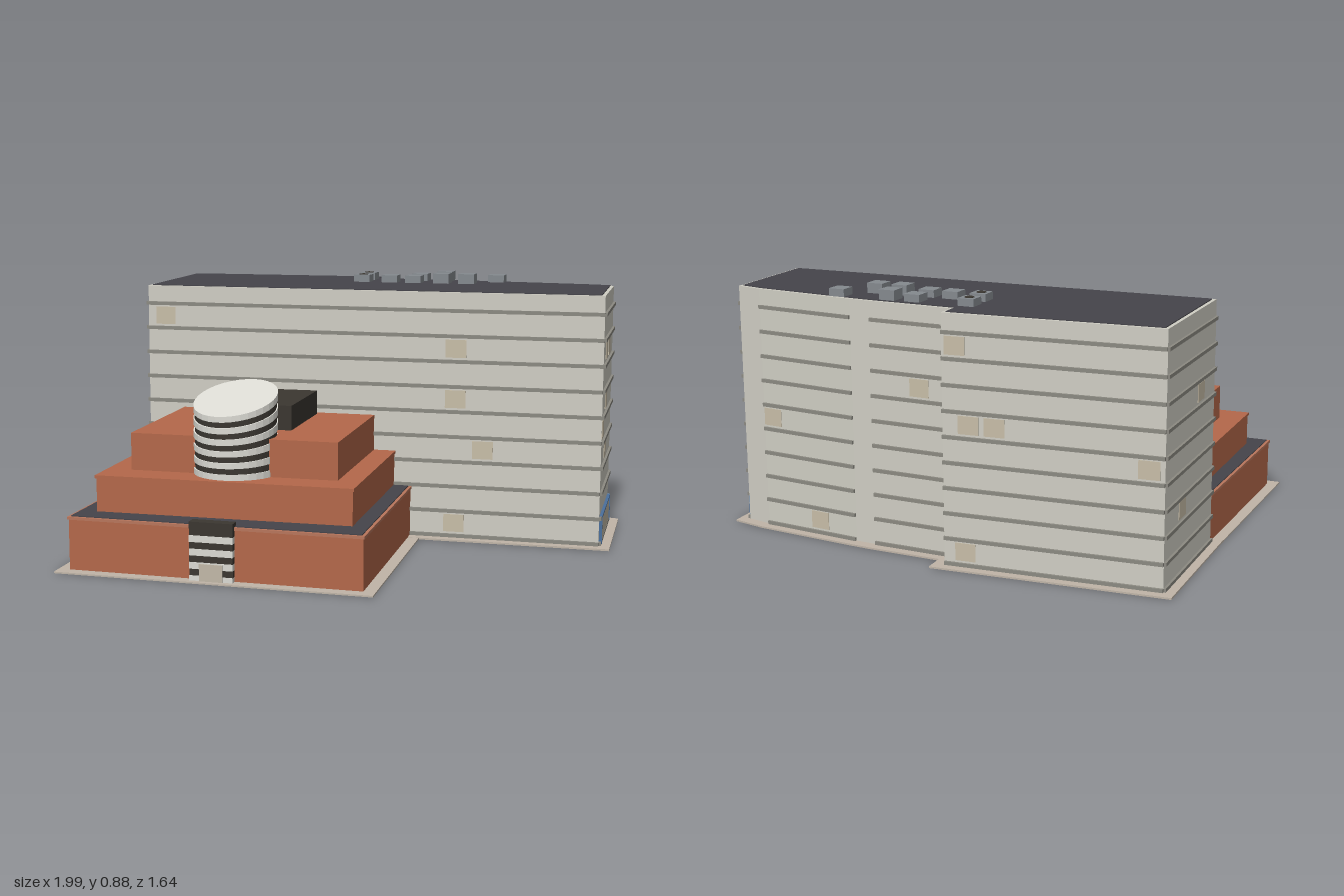
import * as THREE from 'three';

const mat = (color, side = THREE.FrontSide) => new THREE.MeshStandardMaterial({ color, side, flatShading: true });
const M = {
  wall: mat(0xd0cec4), ledge: mat(0x8c8a82), roof: mat(0x45444a), pad: mat(0xc0b5a8),
  brick: mat(0xb4684a), cap: mat(0xb9765c), dark: mat(0x3b3731), white: mat(0xdcdbd4),
  window: mat(0xc8bea8), blue: mat(0x4a6f9c), unit: mat(0x858a8f), lobby: mat(0xc2b9a8),
};

// Plan outlines as [x, z], all wound the same way
const TOWER = [[-0.07, -0.77], [0.47, -0.27], [0.42, -0.22], [0.62, 0], [0.67, 0.06], [0.9, 0.35], [0.95, 0.43], [0.68, 0.7], [-0.43, -0.41]];
const BASE = [[-0.43, -0.41], [0.23, 0.25], [-0.28, 0.76], [-0.94, 0.08]];
const MIDDLE = [[-0.39, -0.38], [0.19, 0.21], [-0.25, 0.65], [-0.84, 0.07]];
const UPPER = [[-0.34, -0.32], [0.14, 0.16], [-0.23, 0.53], [-0.71, 0.05]];
const PLANT = [[-0.22, -0.16], [-0.015, 0.04], [-0.25, 0.275], [-0.46, 0.07]];

// Moves every side of an outline outward by d (inward if negative)
function offset(points, d) {
  const n = points.length;
  const normal = (a, b) => {
    const dx = b[0] - a[0], dz = b[1] - a[1], l = Math.hypot(dx, dz);
    return [dz / l, -dx / l];
  };
  return points.map((p, i) => {
    const u = normal(points[(i + n - 1) % n], p), v = normal(p, points[(i + 1) % n]);
    const k = d / (1 + u[0] * v[0] + u[1] * v[1]);
    return [p[0] + (u[0] + v[0]) * k, p[1] + (u[1] + v[1]) * k];
  });
}

function add(parent, name, geometry, material) {
  const mesh = new THREE.Mesh(geometry, material);
  mesh.name = name;
  parent.add(mesh);
  return mesh;
}

// Upright prism over a plan outline
function prism(parent, name, points, y0, y1, material) {
  const shape = new THREE.Shape(points.map(([x, z]) => new THREE.Vector2(x, -z)));
  const geo = new THREE.ExtrudeGeometry(shape, { depth: y1 - y0, bevelEnabled: false });
  geo.rotateX(-Math.PI / 2).translate(0, y0, 0);
  return add(parent, name, geo, material);
}

// Box lying along side i of an outline, centred on the wall plane at fraction t
function onWall(parent, name, points, i, t, y, [w, h, d], material, out = 0) {
  const a = points[i], b = points[(i + 1) % points.length];
  const dx = b[0] - a[0], dz = b[1] - a[1], l = Math.hypot(dx, dz);
  const box = add(parent, name, new THREE.BoxGeometry(w ?? l, h, d), material);
  box.position.set(a[0] + dx * t + (dz / l) * out, y, a[1] + dz * t - (dx / l) * out);
  box.rotation.y = Math.atan2(-dz, dx);
  return box;
}

function createTower() {
  const g = new THREE.Group();
  g.name = 'tower';
  prism(g, 'towerWalls', TOWER, 0.005, 0.838, M.wall);
  prism(g, 'towerRoof', offset(TOWER, -0.012), 0.8, 0.841, M.roof);

  // Floor ledges on the long wall sides
  for (let f = 0; f < 10; f++) {
    for (const i of [0, 2, 4, 6, 7, 8]) {
      onWall(g, 'floorLedge', TOWER, i, 0.5, 0.012 + f * 0.085, [null, 0.012, 0.016], M.ledge);
    }
  }

  // Tinted window panels: [side, fraction along it, floor]
  const panels = [
    [7, 0.31, 7], [7, 0.31, 5], [7, 0.25, 3], [7, 0.31, 0], [7, 0.96, 8],
    [6, 0.4, 7], [6, 0.7, 7], [6, 0.9, 4], [6, 0.63, 5], [6, 0.6, 3],
    [0, 0.94, 8], [0, 0.88, 5], [0, 0.76, 5], [0, 0.07, 4], [0, 0.9, 0],
    [4, 0.4, 0], [4, 0.9, 4], [2, 0.4, 6], [8, 0.3, 6], [8, 0.65, 2],
  ];
  for (const [i, t, f] of panels) {
    onWall(g, 'windowPanel', TOWER, i, t, 0.055 + f * 0.085, [0.07, 0.06, 0.004], M.window);
  }

  // Glazed lobby on the end wall
  onWall(g, 'lobbyGlass', TOWER, 6, 0.5, 0.055, [0.35, 0.09, 0.014], M.lobby);
  onWall(g, 'lobbyTopRail', TOWER, 6, 0.5, 0.102, [0.355, 0.006, 0.02], M.blue);
  for (const t of [0.04, 0.96]) onWall(g, 'lobbyPost', TOWER, 6, t, 0.055, [0.006, 0.09, 0.02], M.blue);
  return g;
}

function createRoofUnits() {
  const g = new THREE.Group();
  g.name = 'roofUnits';
  const spots = [[0.35, -0.205], [0.285, -0.14], [0.355, -0.07], [0.485, -0.07], [0.415, -0.01],
    [0.55, -0.01], [0.485, 0.06], [0.55, 0.12], [0.68, 0.12]];
  spots.forEach(([x, z], i) => {
    const h = i > 4 && i < 8 ? 0.035 : 0.026;
    const unit = add(g, 'roofUnit', new THREE.BoxGeometry(0.056, h, 0.056), M.unit);
    unit.position.set(x, 0.84 + h / 2, z);
    unit.rotation.y = -0.82;
    if (i < 2) {
      const fan = add(g, 'roofFan', new THREE.CylinderGeometry(0.016, 0.016, 0.004, 12), M.dark);
      fan.position.set(x, 0.84 + h, z);
    }
  });
  return g;
}

function createPodium() {
  const g = new THREE.Group();
  g.name = 'podium';
  prism(g, 'baseBlock', BASE, 0.005, 0.166, M.brick);
  prism(g, 'baseCap', offset(BASE, 0.004), 0.166, 0.175, M.cap);
  prism(g, 'baseRoof', offset(BASE, -0.006), 0.16, 0.178, M.roof);
  prism(g, 'middleBlock', MIDDLE, 0.17, 0.285, M.brick);
  prism(g, 'middleCap', offset(MIDDLE, 0.004), 0.285, 0.295, M.brick);
  prism(g, 'upperBlock', UPPER, 0.29, 0.415, M.brick);
  prism(g, 'plantRoom', PLANT, 0.41, 0.495, M.dark);

  // Striped entrance bay on the outer long wall
  for (let k = 0; k < 9; k++) {
    const light = k % 2 === 0 && k < 8;
    onWall(g, 'entranceBand', BASE, 2, 0.5, 0.0105 + k * 0.021,
      [0.14, 0.021, light ? 0.04 : 0.036], light ? M.white : M.dark);
  }
  onWall(g, 'entranceDoor', BASE, 2, 0.5, 0.032, [0.075, 0.054, 0.046], M.lobby);
  return g;
}

// Striped drum whose rings tilt more and more towards a slanted top
function createDrum() {
  const g = new THREE.Group();
  g.name = 'stripedDrum';
  const r = 0.134, h = 0.24, bands = 11;
  for (let k = 0; k < bands; k++) {
    const light = k % 2 === 0;
    const rad = light ? r : r - 0.004;
    const geo = new THREE.CylinderGeometry(rad, rad, 1, 32);
    const pos = geo.attributes.position;
    for (let i = 0; i < pos.count; i++) {
      const t = (k + pos.getY(i) + 0.5) / bands;
      pos.setY(i, t * (h + 0.26 * pos.getX(i) - 0.16 * pos.getZ(i)));
    }
    geo.computeVertexNormals();
    add(g, 'drumBand', geo, light ? M.white : M.dark);
  }
  g.position.set(-0.44, 0.295, 0.255);
  return g;
}

export function createModel() {
  const model = new THREE.Group();
  model.name = 'building';
  // Paved ground slabs around both blocks
  prism(model, 'towerPaving', offset(TOWER, 0.038), 0, 0.006, M.pad);
  prism(model, 'podiumPaving', offset(BASE, 0.038), 0, 0.005, M.pad);
  model.add(createTower(), createRoofUnits(), createPodium(), createDrum());
  return model;
}
